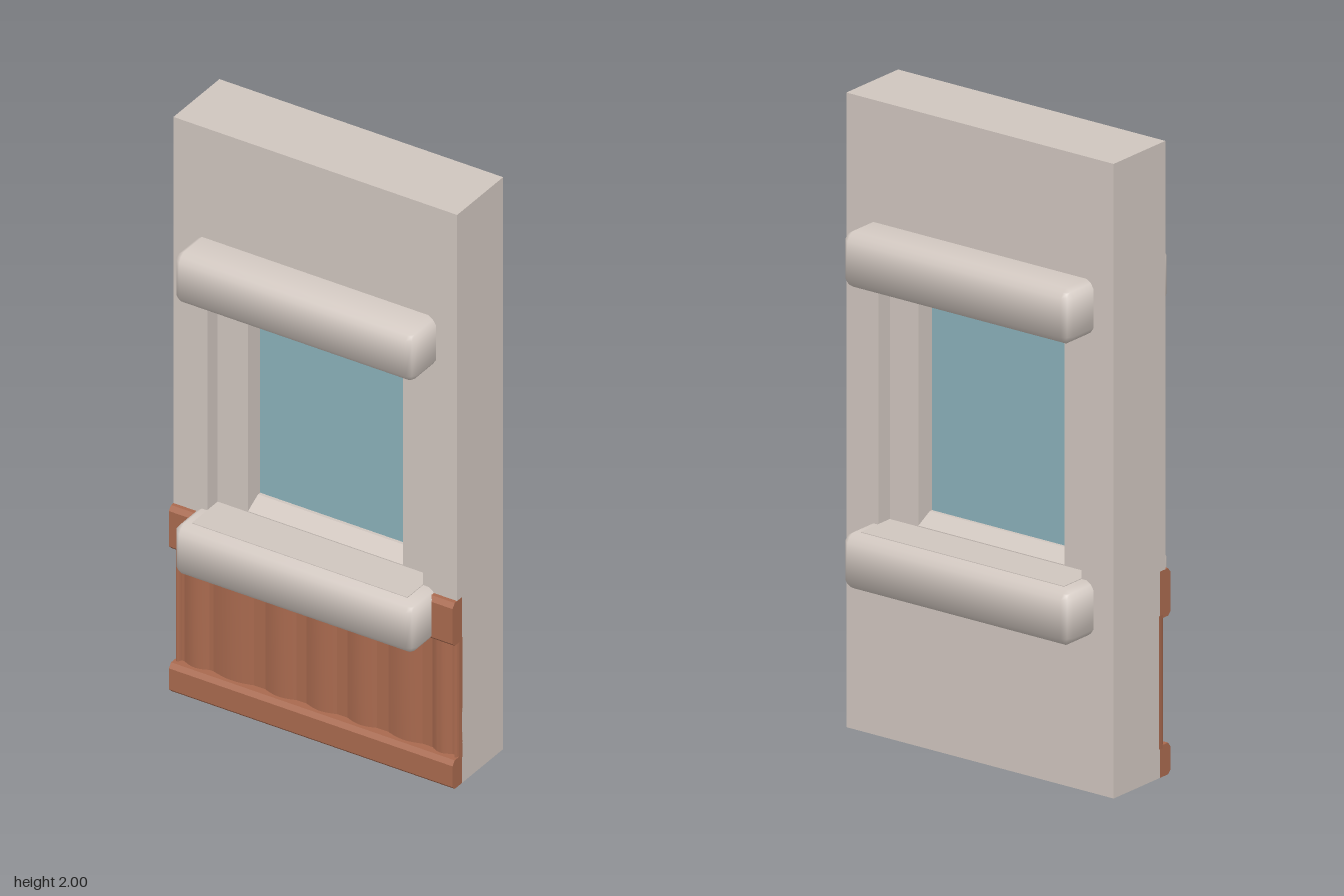
import * as THREE from 'three';
import { toCreasedNormals } from 'three/addons/utils/BufferGeometryUtils.js';

const material = (name, color) => {
  const m = new THREE.MeshStandardMaterial({ color });
  m.name = name;
  return m;
};

function rectPath(Type, x, y0, y1) {
  const p = new Type();
  p.moveTo(-x, y0);
  p.lineTo(x, y0);
  p.lineTo(x, y1);
  p.lineTo(-x, y1);
  p.closePath();
  return p;
}

// Rectangular slab with a rectangular opening, centred on z = 0
function openSlab(outer, inner, depth) {
  const shape = rectPath(THREE.Shape, ...outer);
  shape.holes.push(rectPath(THREE.Path, ...inner));
  return new THREE.ExtrudeGeometry(shape, { depth, bevelEnabled: false }).translate(0, 0, -depth / 2);
}

// Profile of [z, y] points run along x
function runAlongX(points, width) {
  const shape = new THREE.Shape(points.map(([z, y]) => new THREE.Vector2(-z, y)));
  return new THREE.ExtrudeGeometry(shape, { depth: width, bevelEnabled: false })
    .rotateY(Math.PI / 2).translate(-width / 2, 0, 0);
}

// Block with bevelled edges and soft, pillow-like shading
function softBlock(w, h, d, c) {
  const geo = new THREE.BoxGeometry(2, 2, 2, 3, 3, 3);
  const half = [w / 2, h / 2, d / 2];
  const lean = [0.05, 0.6, 0.6];
  const pos = geo.attributes.position;
  const n = new THREE.Vector3();
  for (let i = 0; i < pos.count; i++) {
    const p = [pos.getX(i), pos.getY(i), pos.getZ(i)];
    const outer = p.map((v) => Math.abs(v) > 0.9);
    const inset = [0, 0, 0.4, 0.55][outer.filter(Boolean).length] * c;
    pos.setXYZ(i, ...p.map((v, k) => Math.sign(v) * (half[k] - (outer[k] ? inset : c))));
    n.set(...p.map((v, k) => Math.sign(v) * (outer[k] ? 1 : lean[k]))).normalize();
    geo.attributes.normal.setXYZ(i, n.x, n.y, n.z);
  }
  return geo;
}

// Upright board with a gently bowed front
function board(x0, x1, y0, y1) {
  const back = 0.095, edge = 0.11, bulge = 0.015, steps = 8;
  const pts = [new THREE.Vector2(x0, -back), new THREE.Vector2(x1, -back)];
  for (let i = 0; i <= steps; i++) {
    const t = i / steps;
    pts.push(new THREE.Vector2(x1 + (x0 - x1) * t, -(edge + bulge * Math.sin(Math.PI * t))));
  }
  const geo = new THREE.ExtrudeGeometry(new THREE.Shape(pts), { depth: y1 - y0, bevelEnabled: false });
  geo.rotateX(-Math.PI / 2).rotateY(0).translate(0, y0, 0);
  return toCreasedNormals(geo, 0.6);
}

export function createModel() {
  const group = new THREE.Group();
  const plaster = material('plaster', 0xcfc5be);
  const wood = material('wood', 0xa8694e);
  const glass = material('glass', 0x8ab0b9);

  const add = (name, geo, mat, x = 0, y = 0, z = 0) => {
    const mesh = new THREE.Mesh(geo, mat);
    mesh.name = name;
    mesh.position.set(x, y, z);
    group.add(mesh);
    return mesh;
  };

  // Wall: upper part with the window opening, lower part set back behind the wood
  add('upperWall', openSlab([0.5, 0.65, 2], [0.38, 0.66, 1.45], 0.25), plaster);
  add('lowerWall', new THREE.BoxGeometry(1, 0.65, 0.225), plaster, 0, 0.325, -0.0125);

  // Window frame, sloped bottom rail and pane
  add('windowFrame', openSlab([0.385, 0.65, 1.46], [0.273, 0.655, 1.4], 0.14), plaster);
  add('bottomRail', runAlongX([[-0.07, 0.655], [-0.07, 0.67], [-0.015, 0.7], [0.015, 0.7], [0.07, 0.67], [0.07, 0.655]], 0.55), plaster);
  add('windowPane', new THREE.BoxGeometry(0.55, 0.72, 0.008), glass, 0, 1.05, 0);

  // Lintel and sill, reaching out on both sides of the wall
  add('lintel', softBlock(0.85, 0.175, 0.5, 0.026), plaster, 0, 1.5275, 0);
  add('sill', softBlock(0.85, 0.175, 0.5, 0.026), plaster, 0, 0.5775, 0);
  add('sillTop', new THREE.BoxGeometry(0.76, 0.02, 0.42), plaster, 0, 0.657, 0);

  // Wood panelling: backing, bowed boards and two rails
  add('panelBacking', new THREE.BoxGeometry(1, 0.42, 0.015), wood, 0, 0.3, 0.1045);
  const boards = [[-0.5, -0.478], [-0.473, -0.378], [-0.374, -0.217], [-0.19, -0.069], [-0.044, 0.074],
    [0.1, 0.214], [0.243, 0.376], [0.402, 0.478], [0.483, 0.5]];
  boards.forEach(([x0, x1]) => add('panelBoard', board(x0, x1, 0.09, 0.51), wood));
  const rail = (y0, y1) => runAlongX([[0.1, y0], [0.138, y0], [0.15, y0 + 0.012],
    [0.15, y1 - 0.015], [0.138, y1], [0.1, y1]], 1);
  add('baseRail', rail(0, 0.1), wood);
  add('topRail', rail(0.5, 0.65), wood);

  return group;
}
